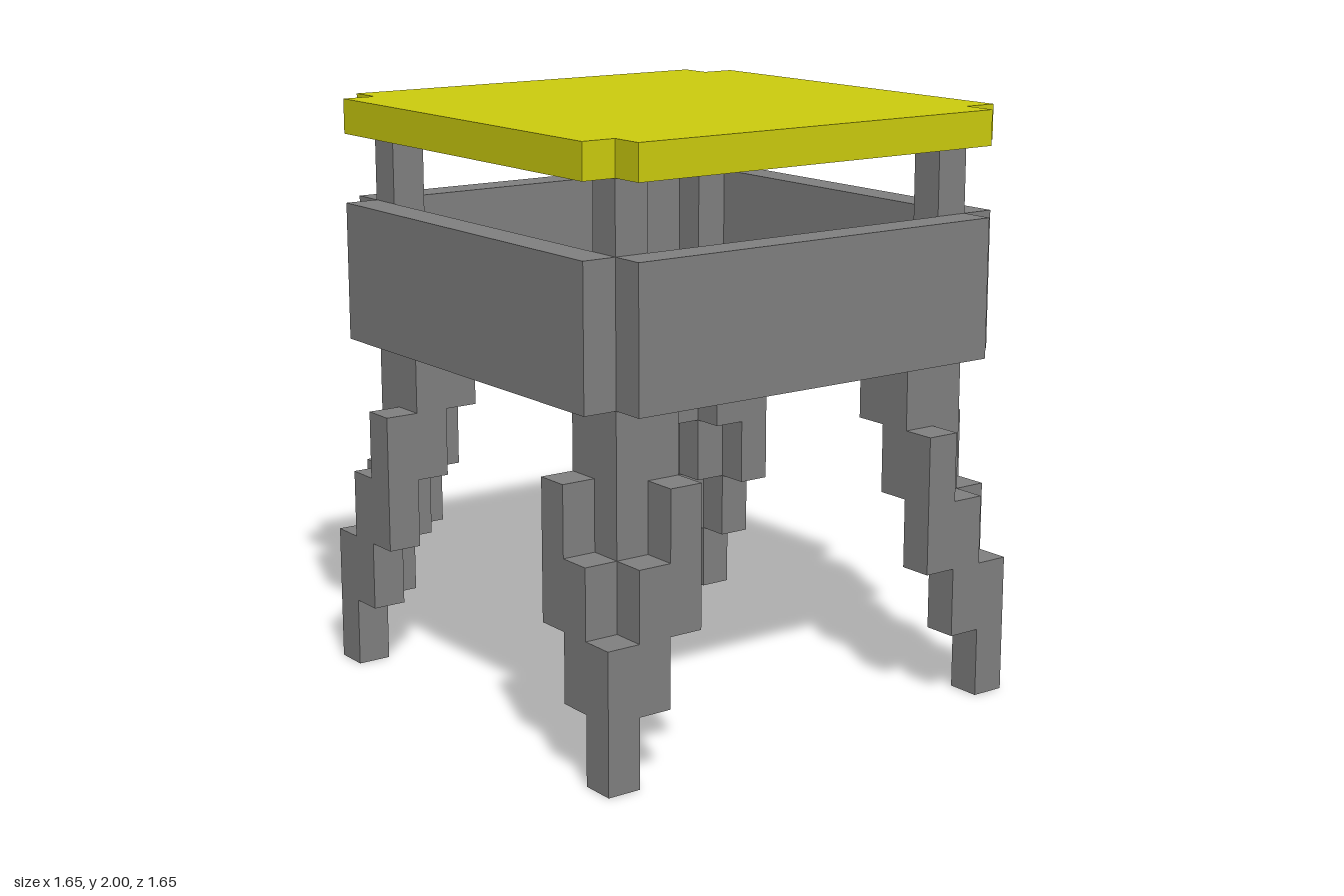
import * as THREE from 'three';

const U = 2 / 17; // edge of one block; the model is 17 blocks tall

export function createModel() {
  const model = new THREE.Group();
  model.name = 'coveredWell';
  const stone = new THREE.MeshStandardMaterial({ color: 0x808080 });
  stone.name = 'grey stone';
  const yellow = new THREE.MeshStandardMaterial({ color: 0xcccc0e });
  yellow.name = 'yellow roof';

  // Box between two corners, given in blocks
  function block(parent, name, material, [x0, y0, z0], [x1, y1, z1]) {
    const w = Math.abs(x1 - x0), h = y1 - y0, d = Math.abs(z1 - z0);
    const mesh = new THREE.Mesh(new THREE.BoxGeometry(w * U, h * U, d * U), material);
    mesh.position.set((x0 + x1) / 2 * U, (y0 + y1) / 2 * U, (z0 + z1) / 2 * U);
    mesh.name = name;
    parent.add(mesh);
  }

  // Roof: square slab with its four corners notched out
  const outline = [[7, -6], [7, 6], [6, 6], [6, 7], [-6, 7], [-6, 6],
    [-7, 6], [-7, -6], [-6, -6], [-6, -7], [6, -7], [6, -6]];
  const shape = new THREE.Shape(outline.map(([x, y]) => new THREE.Vector2(x * U, y * U)));
  const roofGeometry = new THREE.ExtrudeGeometry(shape, { depth: U, bevelEnabled: false });
  roofGeometry.rotateX(-Math.PI / 2);
  const roof = new THREE.Mesh(roofGeometry, yellow);
  roof.position.y = 16 * U;
  roof.name = 'roof';
  model.add(roof);

  // Open basin: floor and four walls
  const basin = new THREE.Group();
  basin.name = 'basin';
  model.add(basin);
  block(basin, 'basinFloor', stone, [-6, 10, -6], [6, 11, 6]);
  for (const s of [-1, 1]) {
    block(basin, 'sideWall', stone, [s * 6, 10, -6], [s * 7, 14, 6]);
    block(basin, 'endWall', stone, [-6, 10, s * 6], [6, 14, s * 7]);
  }

  // Stepped leg columns: inner x, inner z, bottom, top
  const columns = [
    [6, 6, 0, 4],
    [6, 5, 2, 6], [5, 6, 2, 6],
    [6, 4, 4, 8], [4, 6, 4, 8], [5, 5, 4, 10],
    [5, 4, 6, 10], [4, 5, 6, 10],
    [4, 4, 8, 10],
  ];
  for (const sx of [-1, 1]) for (const sz of [-1, 1]) {
    const leg = new THREE.Group();
    leg.name = (sz > 0 ? 'front' : 'back') + (sx > 0 ? 'Left' : 'Right') + 'Leg';
    model.add(leg);
    for (const [x, z, y0, y1] of columns) {
      block(leg, 'legStep', stone, [sx * x, y0, sz * z], [sx * (x + 1), y1, sz * (z + 1)]);
    }
    // Post carrying the roof
    block(model, 'roofPost', stone, [sx * 5, 11, sz * 5], [sx * 6, 16, sz * 6]);
  }
  return model;
}
